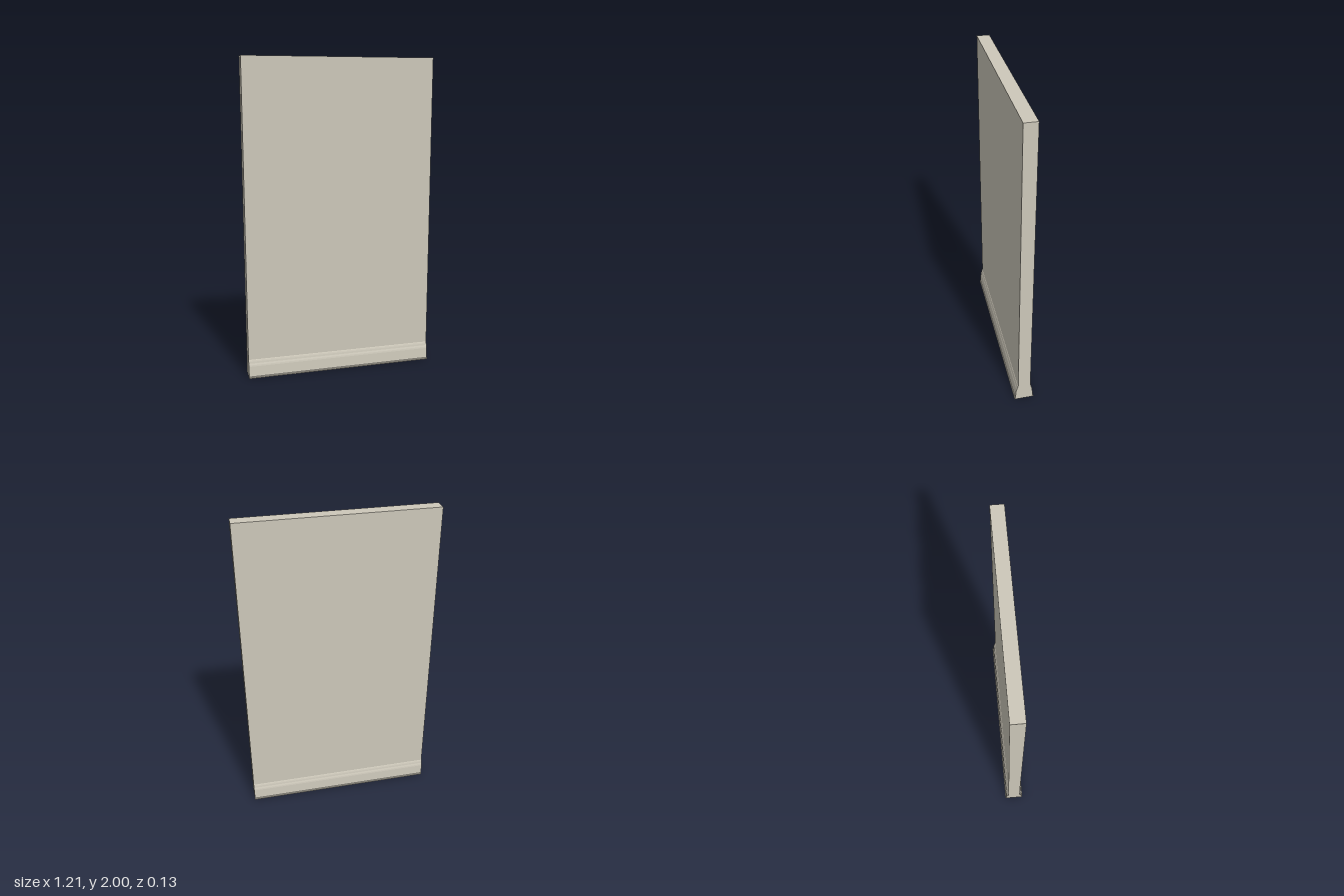
import * as THREE from 'three';

const WIDTH = 1.21, HEIGHT = 2, HALF = 0.04;

// Moulded skirting cross-section: distance from the wall centre, height
const PROFILE = [
  [HALF, 0], [0.063, 0], [0.063, 0.007], [0.058, 0.011], [0.057, 0.02],
  [0.053, 0.076], [0.051, 0.085], [0.047, 0.095], [0.045, 0.106], [0.042, 0.115], [HALF, 0.118],
];

export function createModel() {
  const plaster = new THREE.MeshStandardMaterial({ color: 0xcdc8ba });
  plaster.name = 'warm grey plaster';
  const group = new THREE.Group();
  group.name = 'wallPanel';

  // Plain wall slab
  const wall = new THREE.Mesh(new THREE.BoxGeometry(WIDTH, HEIGHT, HALF * 2), plaster);
  wall.name = 'wall';
  wall.position.y = HEIGHT / 2;
  group.add(wall);

  // Skirting board run along the front and back
  const shape = new THREE.Shape(PROFILE.map(([z, y]) => new THREE.Vector2(z, y)));
  const skirting = new THREE.ExtrudeGeometry(shape, { depth: WIDTH, bevelEnabled: false });
  skirting.translate(0, 0, -WIDTH / 2).rotateY(-Math.PI / 2);
  for (const [name, turn] of [['frontSkirting', 0], ['backSkirting', Math.PI]]) {
    const board = new THREE.Mesh(skirting, plaster);
    board.name = name;
    board.rotation.y = turn;
    group.add(board);
  }
  return group;
}
